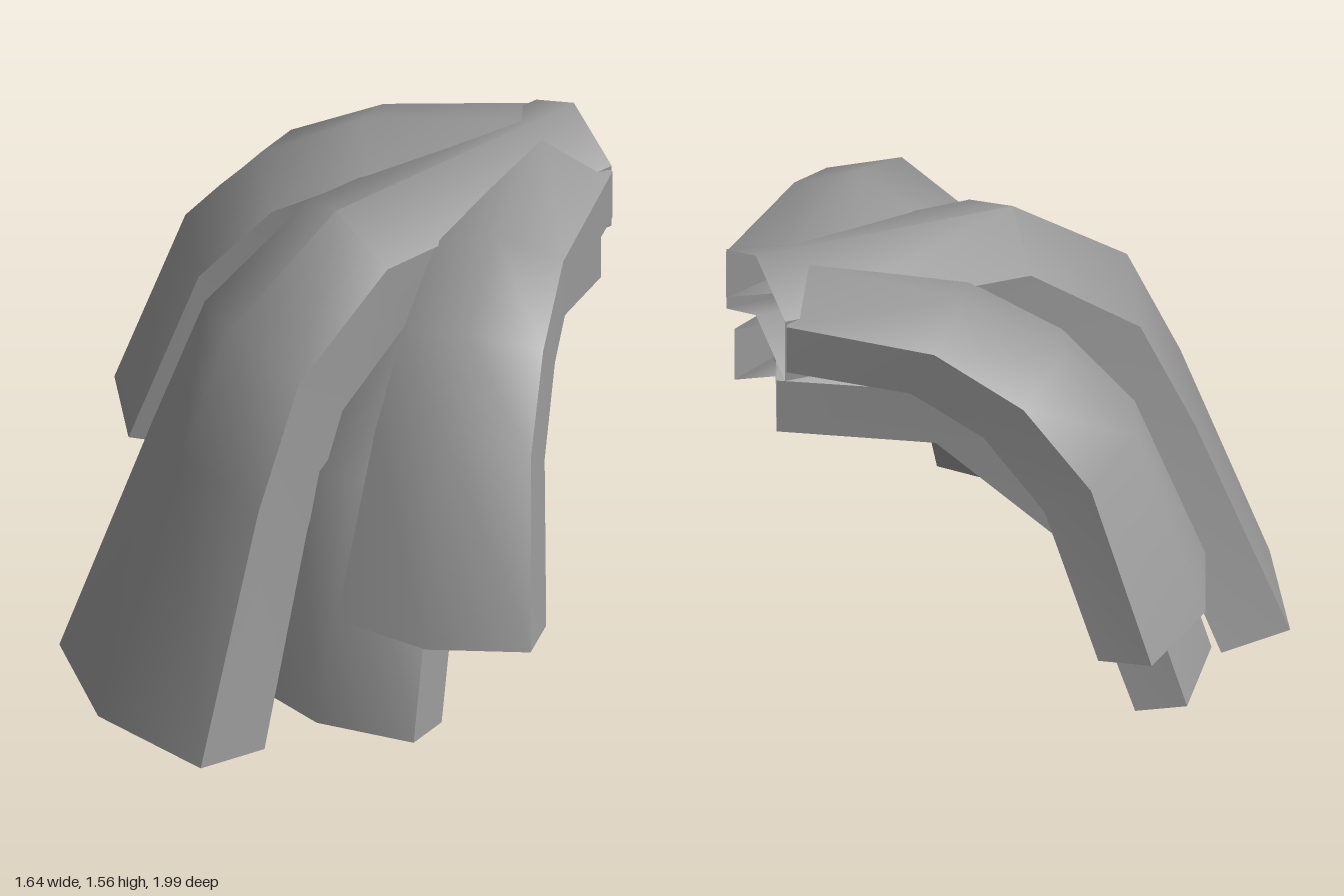
import * as THREE from 'three';
import { toCreasedNormals } from 'three/addons/utils/BufferGeometryUtils.js';

// Builds one curved, ridged plate, hollow and open at its root. Each station is
// [distance outward, edge height, half width, thickness outward, thickness up].
// The ridge rises above the edges by half the thickness.
function plateGeometry(stations, angle, offset) {
  const dx = -Math.cos(angle), dz = Math.sin(angle); // outward direction
  const ex = Math.sin(angle), ez = Math.cos(angle);  // across the plate
  const rings = stations.map(([s, y, h, ts, ty]) => {
    const point = (across, depth) => {
      const along = s + ts * depth, side = offset + across * h;
      return [along * dx + side * ex, y + ty * depth, along * dz + side * ez];
    };
    return [point(1, 0), point(0, -0.5), point(-1, 0), point(-1, 1), point(0, 0.5), point(1, 1)];
  });

  const positions = [];
  const quad = (a, b, c, d) => positions.push(...a, ...b, ...d, ...b, ...c, ...d);
  for (let i = 0; i < rings.length - 1; i++) {
    for (let j = 0; j < 6; j++) {
      const k = (j + 1) % 6;
      quad(rings[i][j], rings[i][k], rings[i + 1][k], rings[i + 1][j]);
    }
  }
  // Chevron-shaped cap at the tip
  const tip = rings[rings.length - 1];
  quad(tip[0], tip[1], tip[4], tip[5]);
  quad(tip[1], tip[2], tip[3], tip[4]);

  const geometry = new THREE.BufferGeometry();
  geometry.setAttribute('position', new THREE.Float32BufferAttribute(positions, 3));
  return toCreasedNormals(geometry, 1.0);
}

export function createModel() {
  const group = new THREE.Group();
  const material = new THREE.MeshStandardMaterial({ color: 0x999999, side: THREE.DoubleSide });
  const add = (name, stations, angle, offset) => {
    const mesh = new THREE.Mesh(plateGeometry(stations, angle, offset), material);
    mesh.name = name;
    group.add(mesh);
  };

  // Large central plate
  add('centralPlate', [
    [-0.82, 1.455, 0.2, 0, -0.21],
    [-0.04, 1.39, 0.21, -0.08, -0.2],
    [0.29, 1.135, 0.25, -0.15, -0.15],
    [0.45, 0.76, 0.28, -0.17, -0.12],
    [0.71, 0.015, 0.375, -0.22, -0.015],
  ], 0, 0);

  // Upper side plates
  const upper = [
    [-0.487, 1.44, 0.21, 0, -0.16],
    [-0.05, 1.41, 0.19, -0.07, -0.15],
    [0.223, 1.28, 0.21, -0.12, -0.12],
    [0.433, 1.05, 0.235, -0.14, -0.1],
    [0.63, 0.507, 0.292, -0.16, -0.012],
  ];
  // Lower plates filling the gaps beneath
  const lower = [
    [-0.69, 1.21, 0.167, 0, -0.18],
    [-0.19, 1.17, 0.175, -0.04, -0.18],
    [0.296, 0.79, 0.235, -0.13, -0.14],
    [0.495, 0.127, 0.285, -0.15, -0.015],
  ];
  for (const side of [1, -1]) {
    const label = side > 0 ? 'front' : 'back';
    add(label + 'UpperPlate', upper, side * 0.708, side * 0.48);
    add(label + 'LowerPlate', lower, side * 0.423, side * 0.3);
  }
  return group;
}
